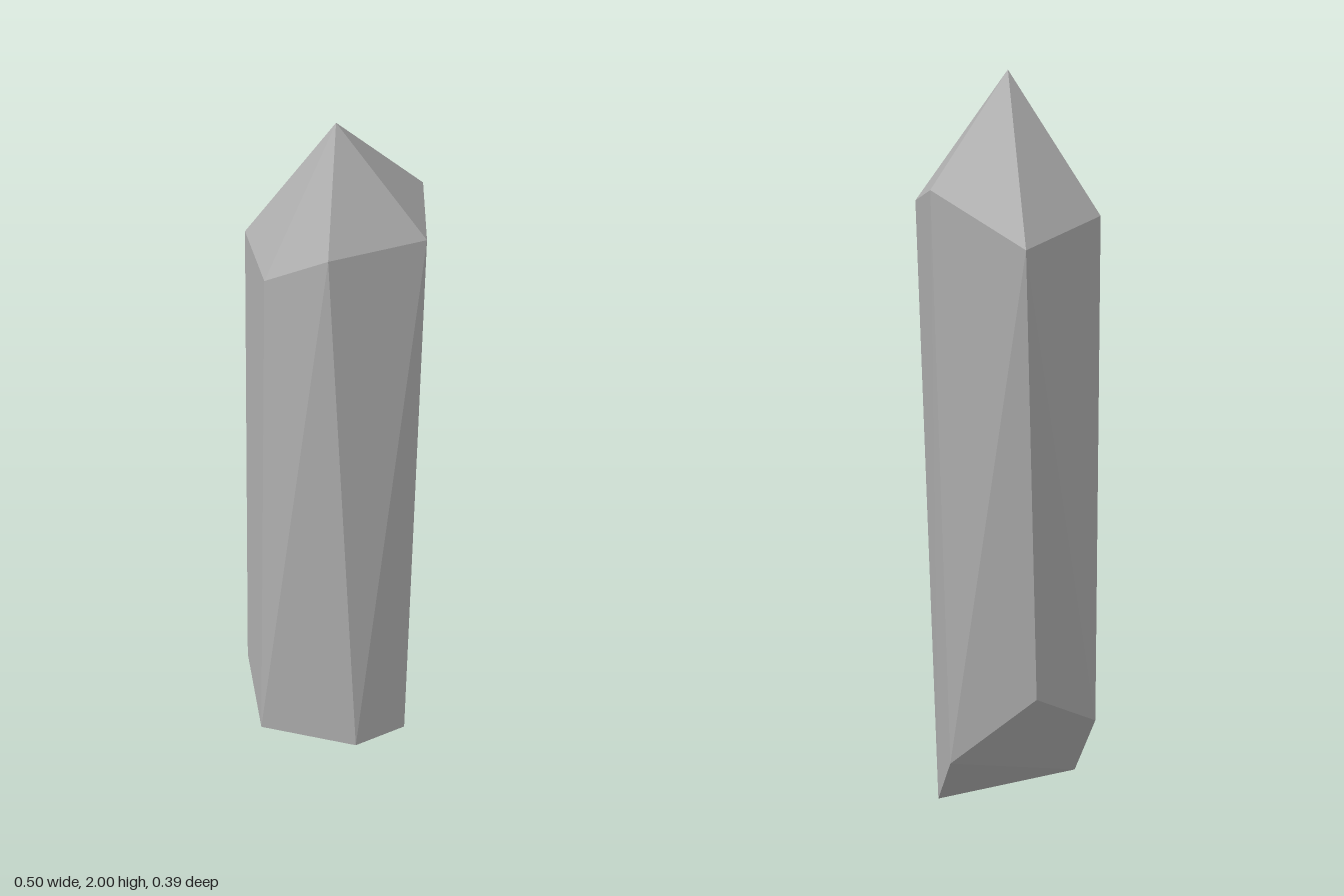
import * as THREE from 'three';
import { ConvexGeometry } from 'three/addons/geometries/ConvexGeometry.js';

export function createModel() {
  const group = new THREE.Group();
  group.name = 'crystalShard';

  const crystalGrey = new THREE.MeshStandardMaterial({ color: 0xb0b0b0, flatShading: true });
  crystalGrey.name = 'crystal grey';

  // pointed tip
  const tip = [[-0.02, 2, 0.033]];

  // shoulder ring, from the +x corner round by the front
  const shoulder = [
    [0.25, 1.7, 0.033], [0.17, 1.64, 0.195], [-0.137, 1.68, 0.195],
    [-0.243, 1.55, 0.033], [-0.21, 1.6, -0.13], [0.102, 1.55, -0.195],
  ];

  // slanted, broken-off base ring in the same order
  const base = [
    [0.18, 0.12, 0.033], [0.12, 0, 0.158], [-0.05, 0.022, 0.193],
    [-0.252, 0.055, 0.033], [-0.224, 0.21, -0.09], [0.018, 0.3, -0.137],
  ];

  // the faceted gem is the hull of tip, shoulder and base
  const points = [...tip, ...shoulder, ...base].map((p) => new THREE.Vector3(...p));
  const crystal = new THREE.Mesh(new ConvexGeometry(points), crystalGrey);
  crystal.name = 'crystal';
  group.add(crystal);

  return group;
}
